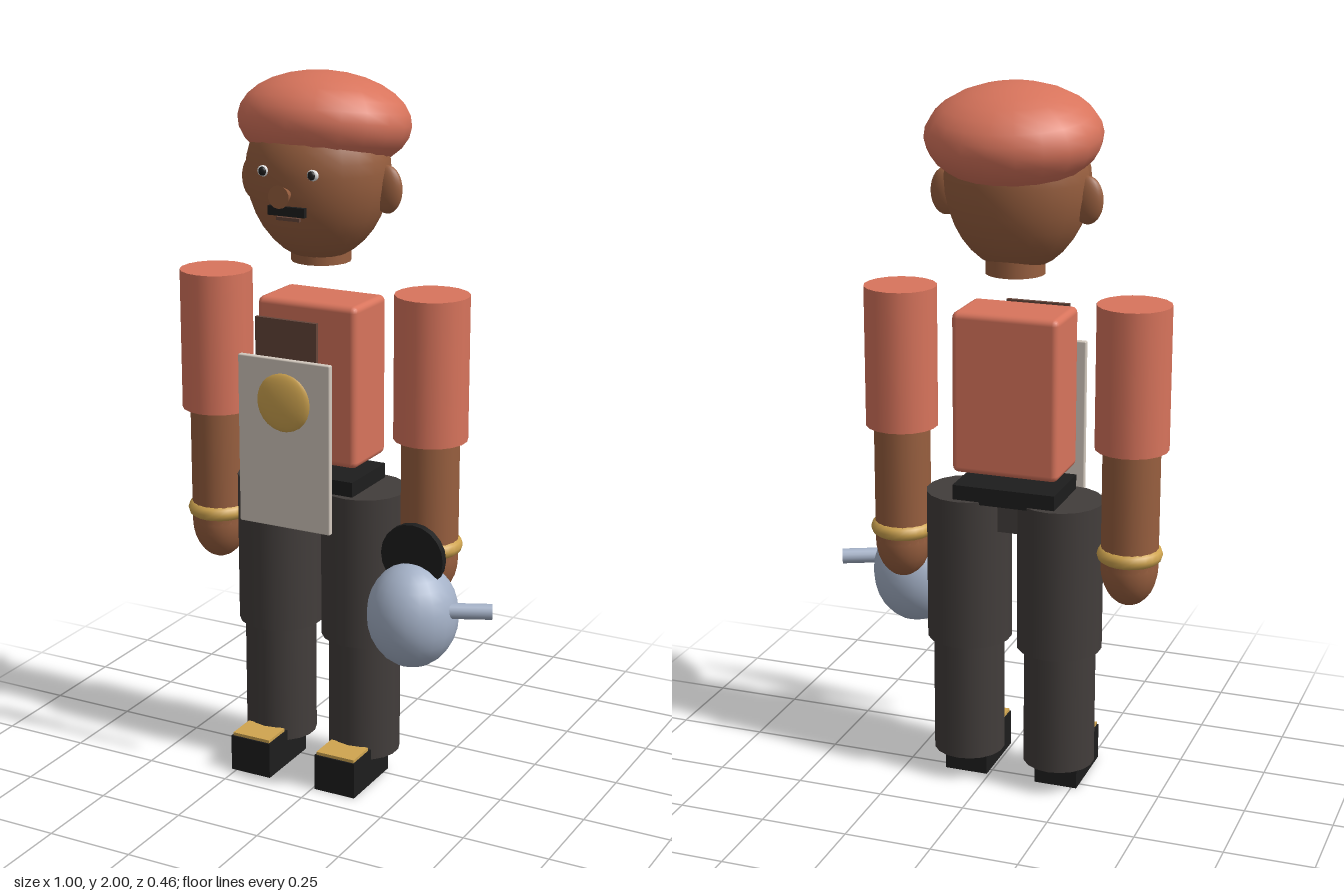
import * as THREE from 'three';
import { RoundedBoxGeometry } from 'three/addons/geometries/RoundedBoxGeometry.js';

const mat = (name, color) => {
  const m = new THREE.MeshStandardMaterial({ color });
  m.name = name;
  return m;
};

export function createModel() {
  const coral = mat('coral', 0xd8745c), skin = mat('skin', 0x985f3f);
  const charcoal = mat('charcoal', 0x423d3b), black = mat('black', 0x1d1d1d);
  const gold = mat('gold', 0xd0a550), cream = mat('cream', 0xd3c9be);
  const steel = mat('steel', 0xa5b2c8), brown = mat('brown', 0x65453a);
  const white = mat('white', 0xf2f2f2);

  const model = new THREE.Group();
  model.name = 'figure';
  // The body is offset sideways because the kettle sticks out on its left
  const body = new THREE.Group();
  body.name = 'body';
  body.position.x = -0.066;
  model.add(body);

  const add = (name, geo, material, x, y, z) => {
    const m = new THREE.Mesh(geo, material);
    m.name = name;
    m.position.set(x, y, z);
    body.add(m);
    return m;
  };
  const box = (name, material, w, h, d, x, y, z) => add(name, new THREE.BoxGeometry(w, h, d), material, x, y, z);
  const ball = (name, material, rx, ry, rz, x, y, z) =>
    add(name, new THREE.SphereGeometry(1, 20, 14).scale(rx, ry, rz), material, x, y, z);
  // Upright cylinder between two heights
  const post = (name, material, r, y0, y1, x, z = 0) =>
    add(name, new THREE.CylinderGeometry(r, r, y1 - y0, 18), material, x, (y0 + y1) / 2, z);

  // Head: egg shape, flatter on top where the cap covers it
  const egg = new THREE.SphereGeometry(1, 24, 18);
  const p = egg.attributes.position;
  for (let i = 0; i < p.count; i++) {
    const y = p.getY(i);
    p.setXYZ(i, p.getX(i) * 0.2, y * (y > 0 ? 0.19 : 0.25), p.getZ(i) * 0.18);
  }
  egg.computeVertexNormals();
  add('head', egg, skin, 0, 1.745, 0.015);
  post('neck', skin, 0.082, 1.49, 1.58, 0);

  // Soft cap, lower at the back
  const cap = ball('cap', coral, 0.241, 0.134, 0.215, 0, 1.865, -0.018);
  cap.rotation.x = -0.15;

  // Face
  const nose = add('nose', new THREE.CylinderGeometry(0.031, 0.013, 0.045, 14), skin, 0, 1.7, 0.211);
  nose.rotation.x = Math.PI / 2;
  box('moustache', black, 0.11, 0.025, 0.012, 0, 1.655, 0.189);
  box('mouth', brown, 0.07, 0.009, 0.01, 0, 1.633, 0.181);

  // Torso and belt
  add('torso', new RoundedBoxGeometry(0.305, 0.455, 0.185, 2, 0.018), coral, 0, 1.163, -0.002);
  box('belt', black, 0.295, 0.05, 0.2, 0, 0.877, 0);
  box('pelvis', charcoal, 0.12, 0.1, 0.12, 0, 0.815, 0);

  // Chest panel and apron floating in front
  box('chestPanel', brown, 0.185, 0.295, 0.012, 0, 1.218, 0.197);
  add('apron', new RoundedBoxGeometry(0.28, 0.475, 0.018, 1, 0.004), cream, 0, 1.022, 0.208);
  ball('medallion', gold, 0.083, 0.083, 0.02, 0, 1.14, 0.213);

  for (const s of [-1, 1]) {
    // Ears and eyes
    ball('ear', skin, 0.044, 0.065, 0.024, s * 0.199, 1.7, 0.002);
    ball('eyeWhite', white, 0.017, 0.015, 0.008, s * 0.074, 1.755, 0.183);
    ball('pupil', black, 0.011, 0.012, 0.007, s * 0.073, 1.755, 0.189);

    // Arms
    post('sleeve', coral, 0.102, 1.03, 1.43, s * 0.335);
    post('forearm', skin, 0.08, 0.69, 1.03, s * 0.335);
    ball('hand', skin, 0.08, 0.113, 0.08, s * 0.335, 0.69, 0);
    const bangle = add('bangle', new THREE.TorusGeometry(0.068, 0.024, 10, 24), gold, s * 0.335, 0.727, 0);
    bangle.rotation.x = Math.PI / 2;

    // Legs
    post('upperLeg', charcoal, 0.121, 0.425, 0.86, s * 0.134);
    post('lowerLeg', charcoal, 0.102, 0.075, 0.425, s * 0.136);

    // Shoes with a gold top plate
    box('shoe', black, 0.126, 0.106, 0.215, s * 0.136, 0.053, 0.078);
    box('shoePlate', gold, 0.118, 0.009, 0.09, s * 0.136, 0.1105, 0.136);
  }

  // Kettle held in the left hand, with a spout and a flat round handle
  ball('kettle', steel, 0.127, 0.15, 0.128, 0.335, 0.555, 0.1);
  const a = new THREE.Vector3(0.43, 0.585, 0.11), b = new THREE.Vector3(0.552, 0.585, 0.055);
  const spout = add('spout', new THREE.CylinderGeometry(0.022, 0.022, a.distanceTo(b), 14), steel, 0, 0, 0);
  spout.position.copy(a).lerp(b, 0.5);
  spout.quaternion.setFromUnitVectors(new THREE.Vector3(0, 1, 0), b.clone().sub(a).normalize());
  const handle = add('kettleHandle', new THREE.CylinderGeometry(0.093, 0.093, 0.022, 20), black, 0.335, 0.722, 0.1);
  handle.rotation.x = Math.PI / 2;

  return model;
}
